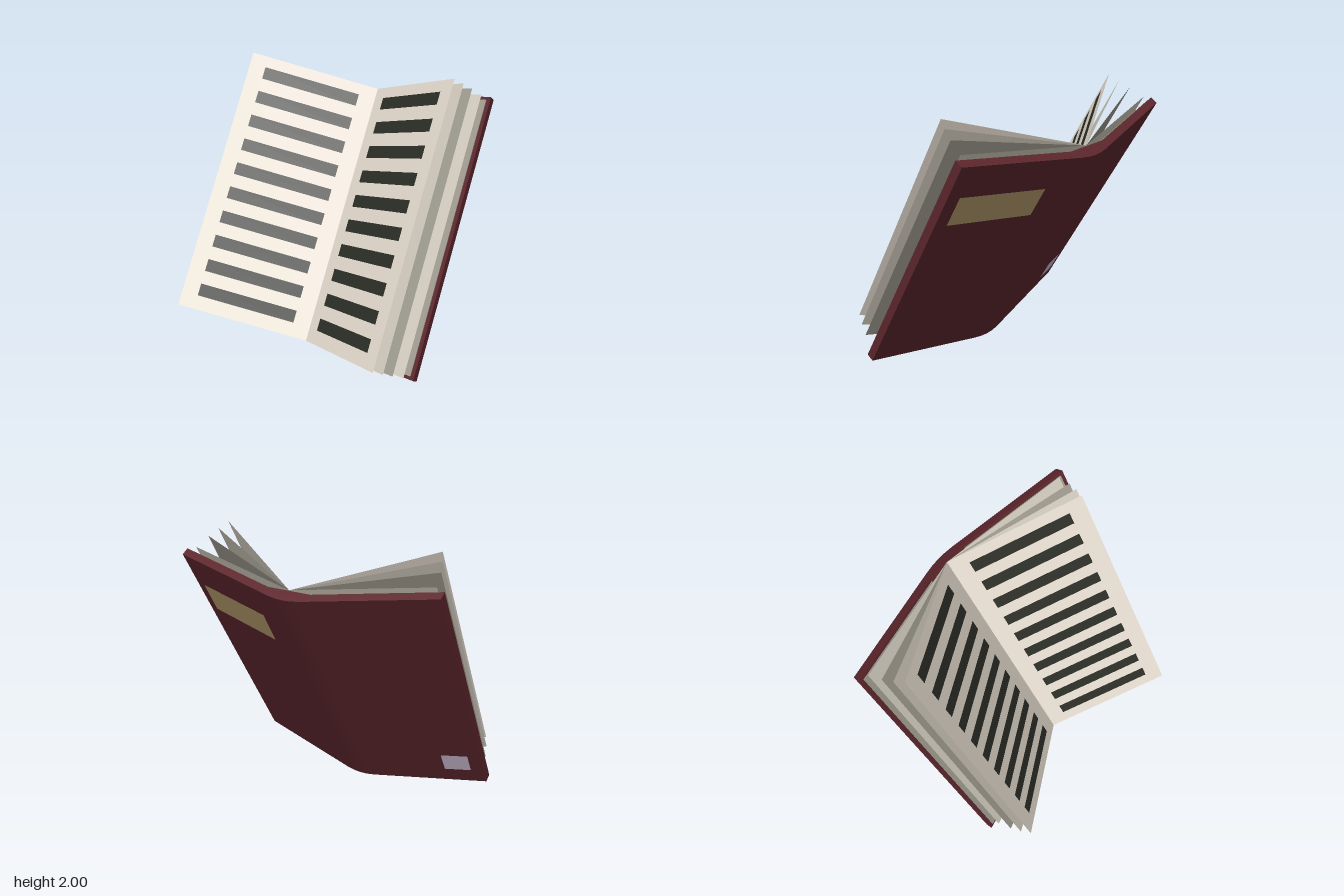
import * as THREE from 'three';

const H = 1.957;            // height of the book along its spine
const GUTTER = 0.09;        // depth of the fold between the pages
const mat = (color, side = THREE.FrontSide) =>
  new THREE.MeshStandardMaterial({ color, side, flatShading: true });

// Cross-section in (x, depth) pulled along the spine
function slab(name, points, material, bottom = 0, top = H) {
  const shape = new THREE.Shape(points.map(([x, d]) => new THREE.Vector2(x, -d)));
  const geo = new THREE.ExtrudeGeometry(shape, { depth: top - bottom, bevelEnabled: false });
  geo.rotateX(-Math.PI / 2).translate(0, bottom, 0);
  const mesh = new THREE.Mesh(geo, material);
  mesh.name = name;
  return mesh;
}

// Thin upright sheet running from (xa, da) to (xb, db) in plan
function sheet(name, [xa, da], [xb, db], bottom, top, material) {
  const geo = new THREE.PlaneGeometry(Math.hypot(xb - xa, db - da), top - bottom);
  geo.rotateY(-Math.atan2(db - da, xb - xa));
  geo.translate((xa + xb) / 2, (bottom + top) / 2, (da + db) / 2);
  const mesh = new THREE.Mesh(geo, material);
  mesh.name = name;
  return mesh;
}

export function createModel() {
  const model = new THREE.Group();
  model.name = 'openBook';
  const book = new THREE.Group();
  book.name = 'book';
  book.rotation.x = -Math.PI / 6;   // leans back
  book.position.z = 0.22;
  model.add(book);

  const coverMat = mat(0x5c262c);
  const creamMat = mat(0xe6ddd0, THREE.DoubleSide);
  const paperMats = [mat(0xd2ccbe, THREE.DoubleSide), mat(0xa09c90, THREE.DoubleSide)];
  const inkMat = mat(0x2c2e27, THREE.DoubleSide);

  // depth of the outer face of a cover board at distance x from the middle
  const back = (x) => 0.015 + (x - 0.12) * 0.2515;

  // slightly rounded spine
  book.add(slab('spine', [
    [-0.16, back(0.16)], [-0.12, 0.015], [-0.06, 0.004], [0, 0], [0.06, 0.004],
    [0.12, 0.015], [0.16, back(0.16)], [0.16, 0.086], [-0.16, 0.086],
  ], coverMat));

  // outer edge of each loose page, front page first
  const pageEdges = [[0.827, 0.606], [0.862, 0.526], [0.89, 0.436], [0.915, 0.316]];

  for (const s of [1, -1]) {
    const side = s > 0 ? 'left' : 'right';

    // cover board
    book.add(slab(side + 'Cover', [
      [s * 0.16, back(0.16)], [s * 0.975, back(0.975)], [s * 0.975, 0.29], [s * 0.16, 0.086],
    ], coverMat));

    // endpaper lying on the board
    book.add(slab(side + 'Endpaper', [
      [s * 0.16, 0.085], [s * 0.947, 0.282], [s * 0.947, 0.292], [s * 0.16, 0.095],
    ], paperMats[1], 0.023, H - 0.023));

    // fanned pages
    pageEdges.forEach(([x, d], i) => book.add(sheet(
      side + 'Page' + (i + 1), [0, GUTTER], [s * x, d], 0, H,
      i === 0 ? creamMat : paperMats[(i + 1) % 2])));

    // rows of dark bars on the front page
    const depth = (x) => GUTTER + x * (0.606 - GUTTER) / 0.827 + 0.004;
    const bars = new THREE.Group();
    bars.name = side + 'TextBars';
    for (let i = 0; i < 10; i++) {
      const v = 0.147 + i * 0.187;
      bars.add(sheet('textBar', [s * 0.105, depth(0.105)], [s * 0.725, depth(0.725)],
        v - 0.045, v + 0.045, inkMat));
    }
    book.add(bars);
  }

  // plain labels on the outside of the covers
  const label = (name, s, xa, xb, bottom, top, color) => book.add(sheet(
    name, [s * xa, back(xa) - 0.004], [s * xb, back(xb) - 0.004],
    bottom, top, mat(color, THREE.DoubleSide)));
  label('titleLabel', 1, 0.28, 0.895, 1.455, 1.7, 0xb49b6c);
  label('cornerSticker', -1, 0.695, 0.885, 0.15, 0.33, 0xd0bcd4);

  return model;
}
